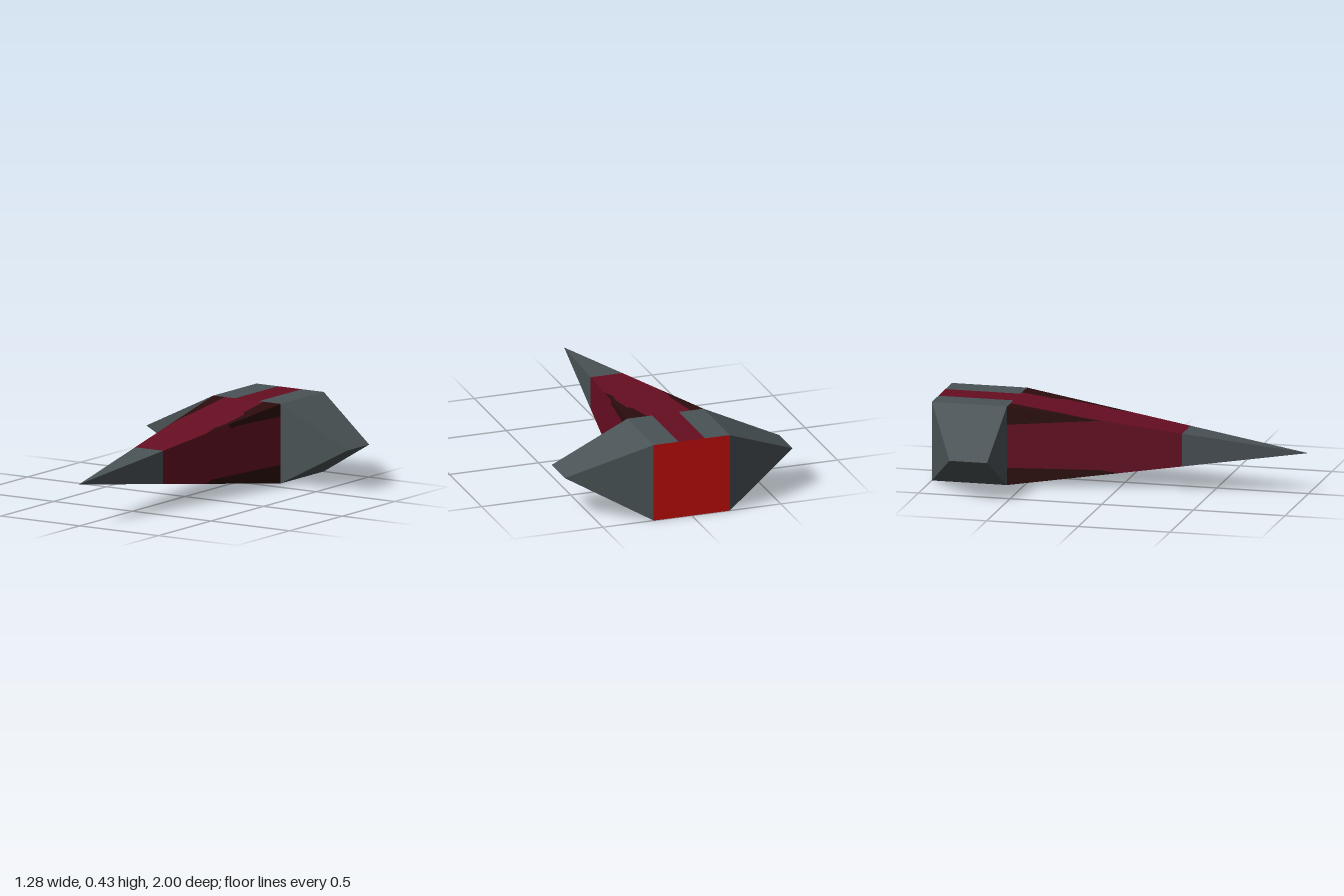
import * as THREE from 'three';

const HALF = 0.214, MID = 0.214, BASE_Z = -0.59, BACK_Z = -1, NOSE_Z = 0.335;

const paint = (name, color) => {
  const m = new THREE.MeshStandardMaterial({ color });
  m.name = name;
  return m;
};

// Half width of the tapering hull at a given z
const halfAt = (z) => HALF * (1 - z) / (1 - BASE_Z);

// Flat-faced mesh from convex polygons, corners anticlockwise seen from outside
function facets(name, material, polygons) {
  const pos = [];
  for (const p of polygons)
    for (let i = 1; i < p.length - 1; i++) pos.push(...p[0], ...p[i], ...p[i + 1]);
  const g = new THREE.BufferGeometry();
  g.setAttribute('position', new THREE.Float32BufferAttribute(pos, 3));
  g.computeVertexNormals();
  const mesh = new THREE.Mesh(g, material);
  mesh.name = name;
  return mesh;
}

// A flat outline of [u, z] points laid on one of the four hull sides
function hullPanel(name, material, side, outline) {
  const shape = new THREE.Shape(outline.map(([u, z]) => new THREE.Vector2(u, -z)));
  const g = new THREE.ShapeGeometry(shape).toNonIndexed();
  const p = g.attributes.position;
  for (let i = 0; i < p.count; i++) {
    const z = -p.getY(i);
    p.setXYZ(i, p.getX(i), halfAt(z), z);
  }
  g.rotateZ(side * Math.PI / 2);
  // The tip sits slightly off the axis of the base
  for (let i = 0; i < p.count; i++) {
    const t = (p.getZ(i) - BASE_Z) / (1 - BASE_Z);
    p.setXY(i, p.getX(i) - 0.006 * t, p.getY(i) + MID + 0.008 * t);
  }
  g.computeVertexNormals();
  const mesh = new THREE.Mesh(g, material);
  mesh.name = name;
  return mesh;
}

export function createModel() {
  const grey = paint('slate grey', 0x495255);
  const maroon = paint('maroon', 0x660e21);
  const dark = paint('dark brown', 0x2c0c0d);
  const red = paint('engine red', 0xcc0d0d);
  const model = new THREE.Group();
  model.name = 'spacecraft';

  // Hull sides: inner borders of the dark corner patches as [u, z]; the last entry is the z where each meets the edge
  const sides = [
    { name: 'top', low: [[-0.14, -0.59], [-0.14, -0.3], [-0.15, -0.2], -0.05],
      high: [[0.105, -0.59], [0.112, -0.39], [0.136, -0.36], [0.136, -0.18], [0.12, -0.1], 0.0] },
    { name: 'right', low: [[-0.12, -0.59], [-0.12, -0.1], 0.0],
      high: [[0.115, -0.59], [0.135, -0.3], -0.1] },
    { name: 'bottom', low: [[-0.11, -0.59], [-0.115, -0.1], 0.0],
      high: [[0.12, -0.59], [0.125, -0.1], 0.0] },
    { name: 'left', low: [[-0.146, -0.59], [-0.143, -0.25], [-0.134, -0.2], -0.18],
      high: [[0.114, -0.59], [0.118, -0.05], 0.0] },
  ];
  const hull = new THREE.Group();
  hull.name = 'hull';
  const n = halfAt(NOSE_Z);
  sides.forEach(({ name, low, high }, k) => {
    const border = (list, s) => list.map((e) => (Array.isArray(e) ? e : [s * halfAt(e), e]));
    const a = border(low, -1), b = border(high, 1);
    hull.add(
      hullPanel(`${name}Nose`, grey, k, [[-n, NOSE_Z], [n, NOSE_Z], [0, 1]]),
      hullPanel(`${name}Panel`, maroon, k, [...a, [-n, NOSE_Z], [n, NOSE_Z], ...b.slice().reverse()]),
      hullPanel(`${name}CornerA`, dark, k, [[-HALF, BASE_Z], ...a]),
      hullPanel(`${name}CornerB`, dark, k, [[HALF, BASE_Z], ...b]),
    );
  });
  model.add(hull);

  // Tail block: striped top and bottom, red engine face, grey front wall
  const tail = new THREE.Group();
  tail.name = 'tail';
  const top = MID + HALF, S = 0.075;
  const deck = (x0, x1) => [[x0, top, BASE_Z], [x1, top, BASE_Z], [x1, top, BACK_Z], [x0, top, BACK_Z]];
  const floor = (x0, x1) => deck(x0, x1).map(([x, , z]) => [x, 0, z]).reverse();
  tail.add(
    facets('tailStripe', maroon, [deck(-S, S), floor(-S, S)]),
    facets('tailPlates', grey, [deck(-HALF, -S), deck(S, HALF), floor(-HALF, -S), floor(S, HALF)]),
    facets('engineFace', red, [[[HALF, 0, BACK_Z], [-HALF, 0, BACK_Z], [-HALF, top, BACK_Z], [HALF, top, BACK_Z]]]),
  );
  model.add(tail);

  // Wings: wedges tapering to a short edge
  const T = 0.64, TY = 0.222, TZ = -0.795;
  const ft = [HALF, top, BASE_Z], fb = [HALF, 0, BASE_Z];
  const bt = [HALF, top, BACK_Z], bb = [HALF, 0, BACK_Z];
  const tf = [T, TY, BASE_Z], tb = [T, TY, TZ];
  const wing = [[fb, tf, ft], [ft, tf, tb, bt], [fb, bb, tb, tf], [bb, bt, tb]];
  const mirrored = wing.map((p) => p.map(([x, y, z]) => [-x, y, z]).reverse());
  model.add(facets('leftWing', grey, wing), facets('rightWing', grey, mirrored));

  return model;
}
